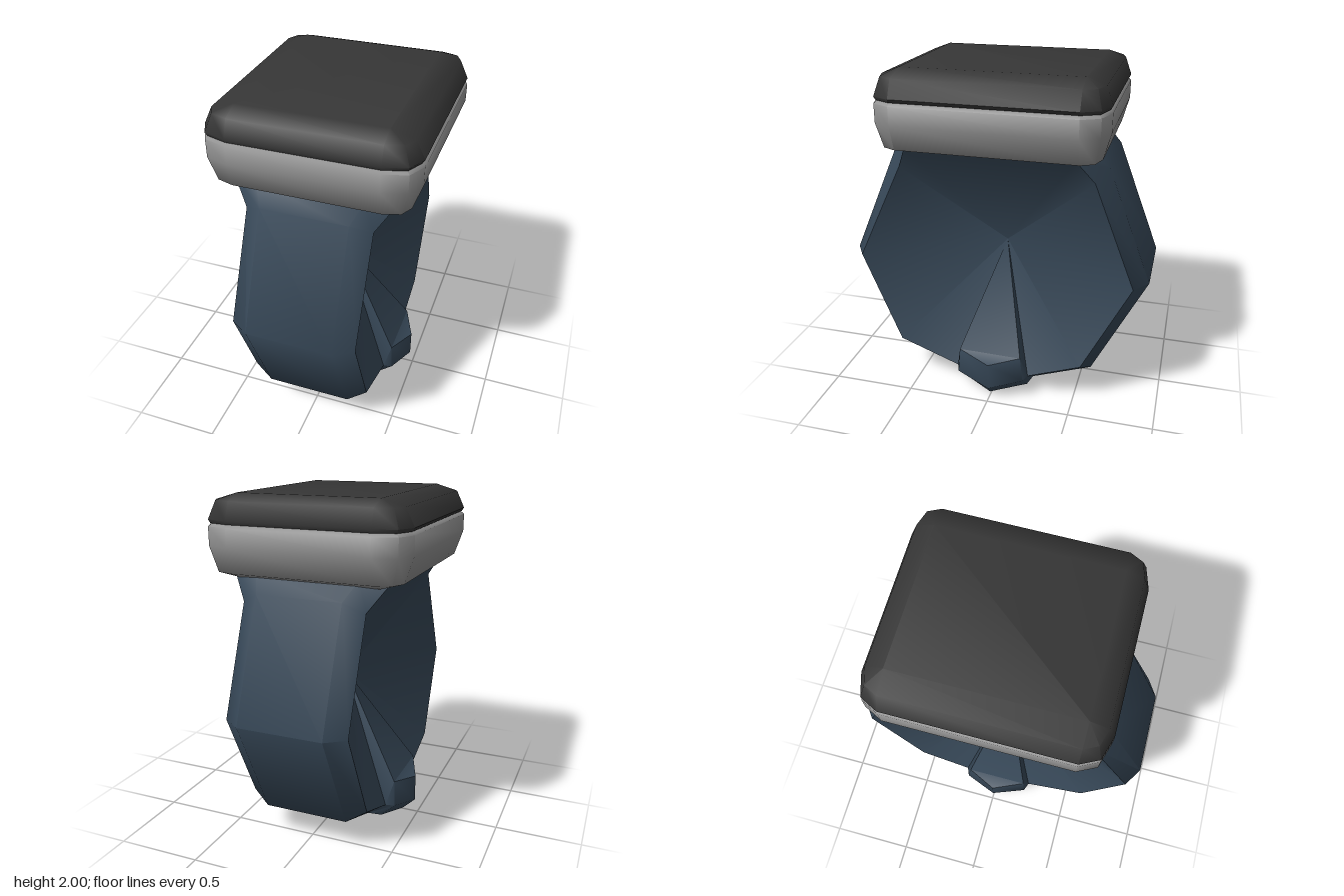
import * as THREE from 'three';
import { toCreasedNormals } from 'three/addons/utils/BufferGeometryUtils.js';

const material = (name, color) => {
  const m = new THREE.MeshStandardMaterial({ color });
  m.name = name;
  return m;
};

// Collects flat polygons (convex, counterclockwise) into one geometry
function polygonSoup() {
  const pos = [];
  const add = (...pts) => {
    for (let i = 1; i < pts.length - 1; i++) pos.push(...pts[0], ...pts[i], ...pts[i + 1]);
  };
  const build = (crease) => {
    const g = new THREE.BufferGeometry();
    g.setAttribute('position', new THREE.Float32BufferAttribute(pos, 3));
    return toCreasedNormals(g, crease);
  };
  return { add, build };
}

// Rounded rectangle around a fixed core, grown outward by r, at height y
function ring(r, y) {
  const cx = 0.41, cz = 0.505, k = 0.72, rz = r * 0.78;
  const corner = [[r, 0], [r * k, rz * k], [0, rz]];
  const pts = [];
  const signs = [[1, 1], [-1, 1], [-1, -1], [1, -1]];
  signs.forEach(([sx, sz], q) => {
    const arc = q % 2 ? [...corner].reverse() : corner;
    for (const [dx, dz] of arc) pts.push([sx * (cx + dx), y, sz * (cz + dz) - 0.013]);
  });
  return pts;
}

// Rounded slab lofted through [growth, height] rings, bottom to top
function slab(levels, crease) {
  const soup = polygonSoup();
  const rings = levels.map(([r, y]) => ring(r, y));
  for (let j = 0; j < rings.length - 1; j++) {
    const a = rings[j], b = rings[j + 1];
    a.forEach((p, i) => {
      const n = (i + 1) % a.length;
      soup.add(p, b[i], b[n], a[n]);
    });
  }
  soup.add(...rings[0]);
  soup.add(...[...rings[rings.length - 1]].reverse());
  return soup.build(crease);
}

// Strap loop with bevelled rims, dished sides, flared top and a wider clasp below
function strapGeometry() {
  // outer z, y, half width, then side rim z, y, half width
  const profile = [
    [0.53, 1.575, 0.30, 0.47, 1.565, 0.46],
    [0.62, 1.48, 0.25, 0.55, 1.42, 0.36],
    [0.90, 0.83, 0.25, 0.83, 0.83, 0.36],
    [0.64, 0.21, 0.25, 0.60, 0.27, 0.36],
    [0.23, 0.06, 0.25, 0.23, 0.135, 0.36],
    [0.20, 0.05, 0.33, 0.21, 0.125, 0.41],
    [0.01, 0.00, 0.40, 0.00, 0.08, 0.48],
    [-0.21, 0.05, 0.33, -0.20, 0.125, 0.41],
    [-0.23, 0.056, 0.25, -0.22, 0.13, 0.36],
    [-0.59, 0.19, 0.25, -0.54, 0.25, 0.36],
    [-0.90, 0.81, 0.25, -0.82, 0.81, 0.36],
    [-0.64, 1.48, 0.25, -0.58, 1.42, 0.36],
    [-0.54, 1.575, 0.30, -0.49, 1.565, 0.46],
  ];
  const n = profile.length;
  const P = profile.map((p) => [p[2], p[1], p[0]]);
  const Q = profile.map((p) => [p[5], p[4], p[3]]);
  const flip = ([x, y, z]) => [-x, y, z];
  const soup = polygonSoup();
  const both = (...pts) => {
    soup.add(...pts);
    soup.add(...pts.map(flip).reverse());
  };

  // outer surface and bevels
  for (let i = 0; i < n - 1; i++) {
    soup.add(flip(P[i]), flip(P[i + 1]), P[i + 1], P[i]);
    both(P[i], P[i + 1], Q[i + 1], Q[i]);
  }

  // clasp bumps: outer faces, top and ends
  const T = [[0.40, 0.28, 0.2], [0.48, 0.245, 0], [0.40, 0.275, -0.18]];
  for (let i = 0; i < 2; i++) both(T[i], Q[5 + i], Q[6 + i], T[i + 1]);
  both(T[0], T[1], T[2]);
  both(T[0], Q[4], Q[5]);
  both(T[2], Q[7], Q[8]);

  // dished sides, sinking from the rim to the middle of the loop
  const centre = [0.01, 0.88, 0];
  const rim = [...Q.slice(0, 5), T[0], T[2], ...Q.slice(8)];
  rim.forEach((p, i) => both(centre, p, rim[(i + 1) % rim.length]));
  return soup.build(0.97);
}

export function createModel() {
  const group = new THREE.Group();
  group.name = 'wristwatch';
  const add = (name, geometry, mat) => {
    const mesh = new THREE.Mesh(geometry, mat);
    mesh.name = name;
    group.add(mesh);
  };

  add('strap', strapGeometry(), material('navy strap', 0x374858));
  add('case', slab([[0.005, 1.54], [0.13, 1.575], [0.18, 1.72], [0.18, 1.825], [0.155, 1.842]], 1.0),
    material('grey metal', 0x949494));
  add('screen', slab([[0.165, 1.842], [0.178, 1.862], [0.13, 1.962], [0.002, 2.0]], 1.0),
    material('dark glass', 0x363636));
  return group;
}
